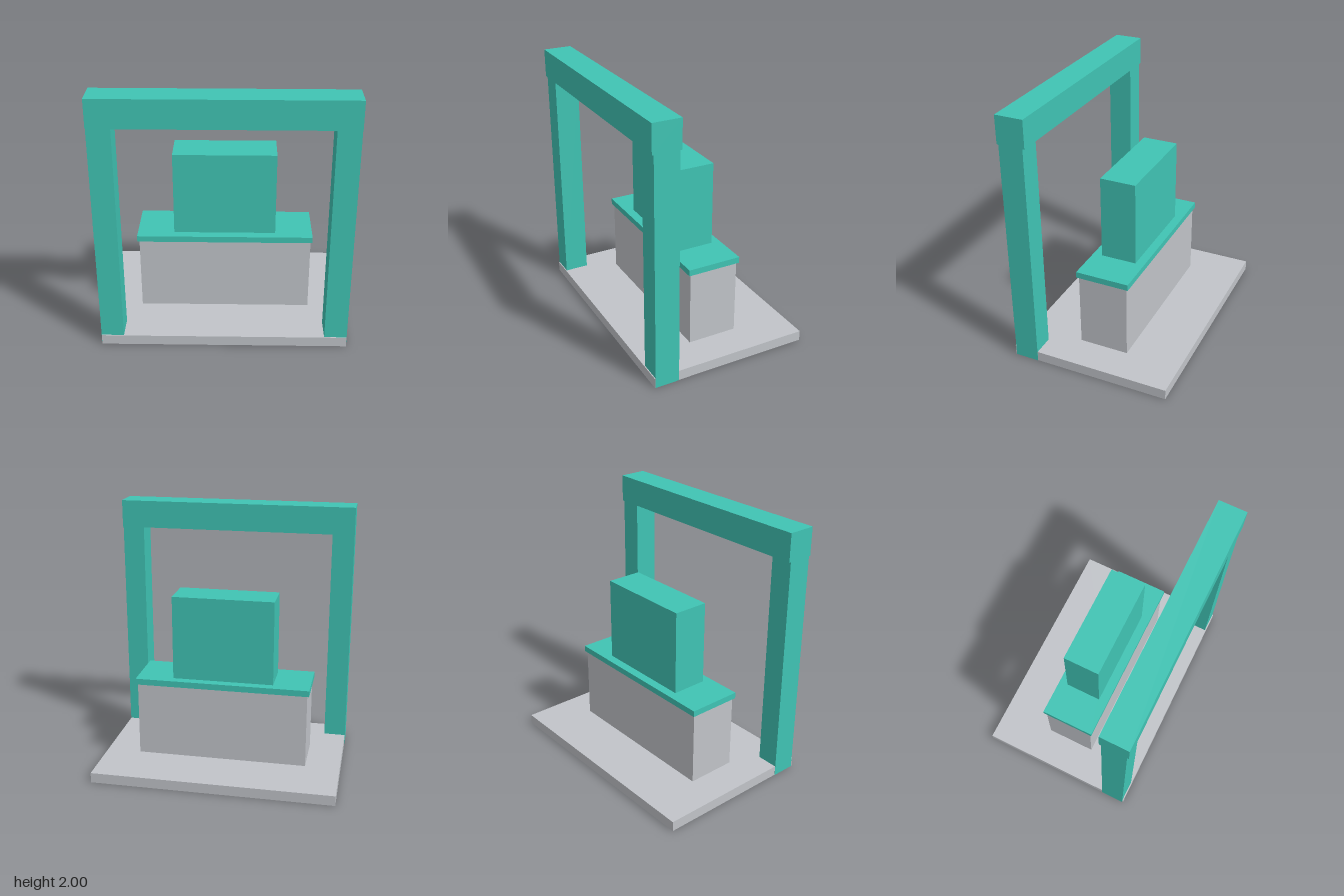
import * as THREE from 'three';

const teal = new THREE.MeshStandardMaterial({ color: 0x40c4b4 });
teal.name = 'teal';
const grey = new THREE.MeshStandardMaterial({ color: 0xc1c4c9 });
grey.name = 'light grey';

// Box given by its extents along each axis
function box(name, material, [x0, x1], [y0, y1], [z0, z1]) {
  const mesh = new THREE.Mesh(new THREE.BoxGeometry(x1 - x0, y1 - y0, z1 - z0), material);
  mesh.position.set((x0 + x1) / 2, (y0 + y1) / 2, (z0 + z1) / 2);
  mesh.name = name;
  return mesh;
}

export function createModel() {
  const model = new THREE.Group();
  model.name = 'gantryMachine';

  // Floor slab and the pedestal standing on it
  model.add(box('baseSlab', grey, [-0.933, 0.933], [0.001, 0.08], [-0.628, 0.622]));
  model.add(box('pedestal', grey, [-0.665, 0.665], [0.08, 0.667], [-0.198, 0.19]));

  // Overhanging table top, and the core block that runs down through it
  model.add(box('tableTop', teal, [-0.68, 0.678], [0.667, 0.715], [-0.215, 0.206]));
  model.add(box('coreBlock', teal, [-0.396, 0.391], [0, 1.375], [-0.146, 0.135]));

  // Portal frame: legs pass through the slab, a wider beam caps them
  for (const [side, s] of [['left', 1], ['right', -1]]) {
    const xs = [s * 0.764, s * 0.935].sort((a, b) => a - b);
    model.add(box(side + 'Leg', teal, xs, [0, 1.785], [0.427, 0.615]));
  }
  model.add(box('topBeam', teal, [-0.935, 0.935], [1.785, 2], [0.411, 0.628]));

  return model;
}
